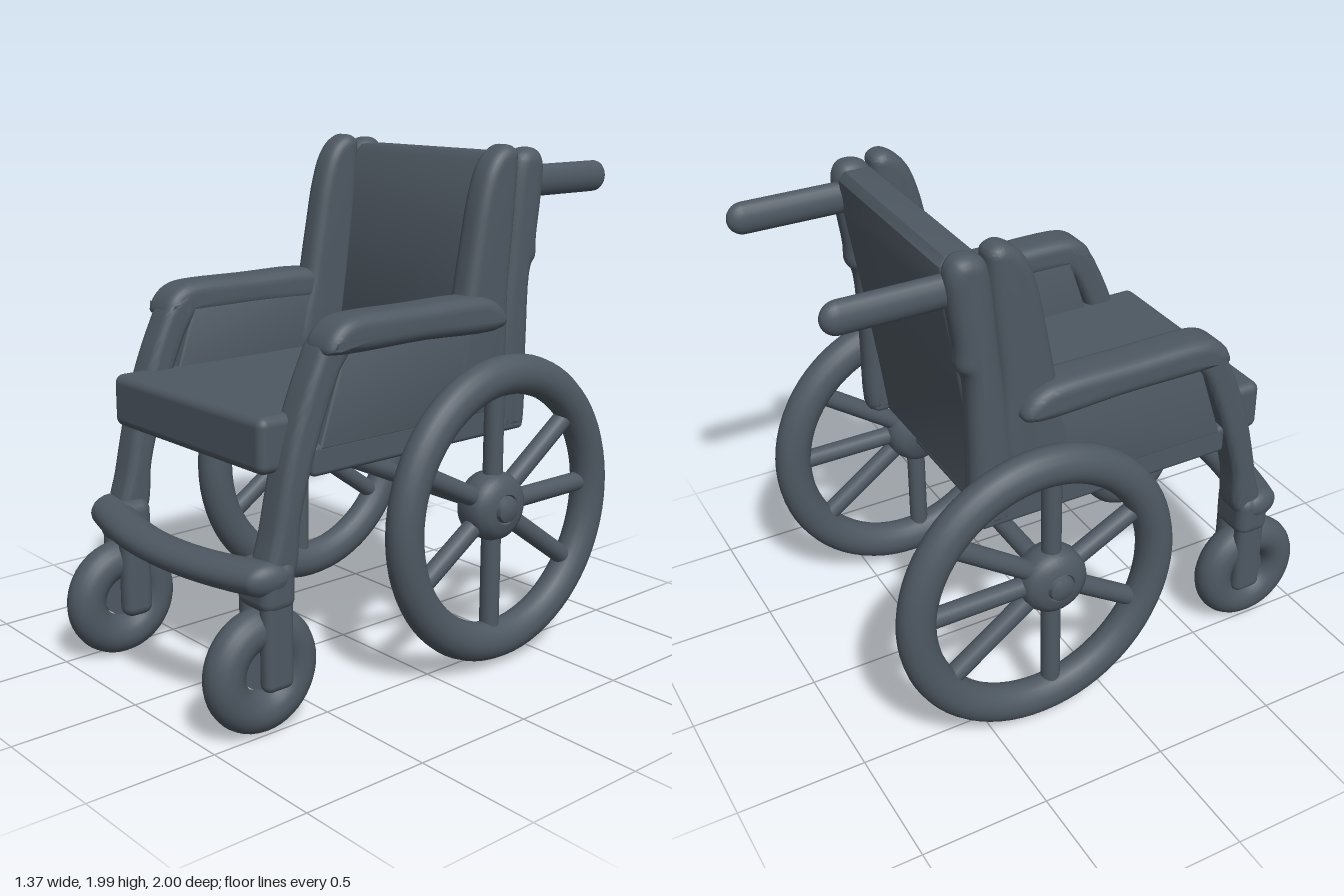
import * as THREE from 'three';
import { toCreasedNormals } from 'three/addons/utils/BufferGeometryUtils.js';
import { RoundedBoxGeometry } from 'three/addons/geometries/RoundedBoxGeometry.js';

export function createModel() {
  const model = new THREE.Group();
  model.name = 'wheelchair';
  const slate = new THREE.MeshStandardMaterial({ color: 0x4e5862 });
  slate.name = 'slate grey';

  const add = (name, geometry, x = 0, y = 0, z = 0, parent = model) => {
    const mesh = new THREE.Mesh(geometry, slate);
    mesh.name = name;
    mesh.position.set(x, y, z);
    parent.add(mesh);
    return mesh;
  };

  // Side profile given as [z, y] points, extruded across x with rounded edges
  const slab = (points, width, bevel, smooth = true) => {
    const v = points.map(([z, y]) => new THREE.Vector3(z, y, 0));
    const outline = smooth ? new THREE.CatmullRomCurve3(v, true).getPoints(72).slice(0, -1) : v;
    const shape = new THREE.Shape(outline.map((p) => new THREE.Vector2(p.x, p.y)));
    const geo = new THREE.ExtrudeGeometry(shape, {
      depth: width - 2 * bevel, bevelEnabled: true, bevelThickness: bevel,
      bevelSize: bevel, bevelOffset: -bevel, bevelSegments: 6,
    });
    geo.translate(0, 0, bevel - width / 2);
    geo.rotateY(-Math.PI / 2);
    return toCreasedNormals(geo, 0.7);
  };

  const block = (x0, x1, y0, y1, z0, z1, r) =>
    new RoundedBoxGeometry(x1 - x0, y1 - y0, z1 - z0, 4, r)
      .translate((x0 + x1) / 2, (y0 + y1) / 2, (z0 + z1) / 2);

  // Straight round bar between two points
  const bar = (name, a, b, radius) => {
    const from = new THREE.Vector3(...a), to = new THREE.Vector3(...b);
    const mesh = add(name, new THREE.CylinderGeometry(radius, radius, from.distanceTo(to), 16));
    mesh.position.copy(from).add(to).multiplyScalar(0.5);
    mesh.quaternion.setFromUnitVectors(new THREE.Vector3(0, 1, 0), to.sub(from).normalize());
  };

  // Seat, its frame and the backrest
  add('seatCushion', block(-0.47, 0.47, 0.932, 1.135, -0.38, 0.762, 0.035));
  add('seatFrame', block(-0.45, 0.45, 0.907, 1.0, -0.42, 0.56, 0.015));
  const backrest = slab([[-0.29, 1.0], [-0.42, 1.93], [-0.45, 1.96], [-0.55, 1.96],
    [-0.575, 1.93], [-0.565, 1.8], [-0.5, 1.4], [-0.435, 0.915], [-0.34, 0.915]],
    0.84, 0.02, false);
  // Slight crown along the top edge
  const p = backrest.attributes.position;
  for (let i = 0; i < p.count; i++) {
    if (p.getY(i) > 1.85) p.setY(i, p.getY(i) + 0.01 * (1 - (p.getX(i) / 0.42) ** 2));
  }
  add('backrest', backrest);

  // Curved footrest, thicker towards its ends
  const foot = new THREE.CapsuleGeometry(0.056, 1.0, 8, 20, 24).rotateZ(Math.PI / 2);
  foot.scale(1, 1, 1.4);
  const f = foot.attributes.position;
  for (let i = 0; i < f.count; i++) {
    const t = (f.getX(i) / 0.5) ** 2;
    const grow = 1 + 0.13 * t;
    f.setY(i, f.getY(i) * grow + 0.574 + 0.01 * t);
    f.setZ(i, f.getZ(i) * grow + 0.862 - 0.09 * t);
  }
  foot.computeVertexNormals();
  add('footrest', foot);

  // Axle joining the large wheels
  bar('axle', [-0.58, 0.66, -0.245], [0.58, 0.66, -0.245], 0.037);

  const legProfile = [[0.77, 0.58], [0.74, 0.74], [0.665, 1.05], [0.57, 1.29], [0.51, 1.39],
    [0.42, 1.43], [0.4, 1.35], [0.46, 1.25], [0.555, 1.016], [0.625, 0.78], [0.66, 0.58]];
  const armProfile = [[0.49, 1.33], [0.535, 1.34], [0.525, 1.385], [0.49, 1.425], [0.45, 1.447],
    [0.39, 1.457], [0.1, 1.457], [-0.17, 1.457], [-0.25, 1.445], [-0.31, 1.41], [-0.34, 1.36],
    [-0.32, 1.33], [0.1, 1.33]];
  const panelProfile = [[0.54, 1.0], [0.42, 1.36], [-0.35, 1.36], [-0.35, 1.0]];
  const wingProfile = [[-0.12, 1.1], [-0.175, 1.45], [-0.21, 1.64], [-0.245, 1.81], [-0.285, 1.92],
    [-0.33, 1.975], [-0.385, 2.0], [-0.43, 1.98], [-0.435, 1.92], [-0.4, 1.5], [-0.36, 1.1]];
  const postProfile = [[-0.36, 0.92], [-0.35, 1.2], [-0.39, 1.6], [-0.43, 1.93], [-0.45, 1.965],
    [-0.5, 1.985], [-0.55, 1.975], [-0.577, 1.93], [-0.572, 1.8], [-0.553, 1.65],
    [-0.55, 1.57], [-0.525, 1.53], [-0.512, 1.25], [-0.505, 0.92], [-0.49, 0.905], [-0.375, 0.905]];
  // Spoke ends on the rim as [z, y]
  const spokeEnds = [[-0.245, 1.14], [-0.245, 0.12], [-0.76, 0.657], [-0.66, 0.95],
    [-0.67, 0.352], [0.14, 0.405], [0.14, 0.855]];
  const hubProfile = [[0, -0.09], [0.09, -0.085], [0.12, -0.06], [0.133, -0.02], [0.133, 0.03],
    [0.12, 0.06], [0.09, 0.08], [0.058, 0.085], [0.053, 0.078], [0.048, 0.095], [0.03, 0.104],
    [0, 0.106]].map(([r, h]) => new THREE.Vector2(r, h));

  for (const s of [1, -1]) {
    const side = s > 0 ? 'left' : 'right';

    // Arm, front leg, side panel, seat rail, back wing and rear post
    add(side + 'FrontLeg', slab(legProfile, 0.135, 0.035), s * 0.467);
    add(side + 'Armrest', slab(armProfile, 0.172, 0.045), s * 0.488);
    add(side + 'SidePanel', slab(panelProfile, 0.11, 0.01, false), s * 0.46);
    add(side + 'SeatRail', block(-0.057, 0.057, 0.905, 1.02, -0.49, 0.57, 0.02), s * 0.457);
    add(side + 'BackWing', slab(wingProfile, 0.124, 0.045), s * 0.455);
    add(side + 'RearPost', slab(postProfile, 0.124, 0.055), s * 0.457);

    // Push handle
    const handle = new THREE.CapsuleGeometry(0.061, 0.38, 8, 20).rotateX(Math.PI / 2);
    add(side + 'PushHandle', handle.scale(0.68, 1, 1), s * 0.431, 1.853, -0.749);

    // Large wheel: rim, hub and seven spokes
    const rim = new THREE.TorusGeometry(0.526, 0.077, 20, 72).rotateY(Math.PI / 2);
    add(side + 'WheelRim', rim.scale(0.88, 1, 0.957), s * 0.588, 0.632, -0.295);
    const hub = toCreasedNormals(new THREE.LatheGeometry(hubProfile, 32), 0.7);
    add(side + 'WheelHub', hub.rotateZ(-s * Math.PI / 2), s * 0.58, 0.658, -0.245);
    for (const [z, y] of spokeEnds) {
      bar(side + 'Spoke', [s * 0.585, 0.658, -0.245], [s * 0.585, y, z], 0.038);
    }

    // Caster wheel with its web and two-pronged fork
    const tyre = new THREE.TorusGeometry(0.155, 0.077, 20, 48).rotateY(Math.PI / 2);
    add(side + 'CasterTyre', tyre.scale(0.95, 1, 1), s * 0.457, 0.238, 0.768);
    const fork = new THREE.Group();
    fork.name = side + 'CasterFork';
    model.add(fork);
    const forkPart = (name, x, w, y0, y1, d, r) =>
      add(name, new RoundedBoxGeometry(w, y1 - y0, d, 4, r), s * x, (y0 + y1) / 2, 0.735, fork);
    forkPart('innerProng', 0.395, 0.085, 0.17, 0.58, 0.125, 0.04);
    forkPart('outerProng', 0.51, 0.065, 0.17, 0.58, 0.125, 0.03);
    forkPart('forkCrown', 0.455, 0.19, 0.46, 0.64, 0.145, 0.045);
    const web = new THREE.CylinderGeometry(0.095, 0.095, 0.05, 32).rotateZ(Math.PI / 2);
    add('casterWeb', web, s * 0.45, 0.265, 0.768, fork);
  }
  return model;
}
